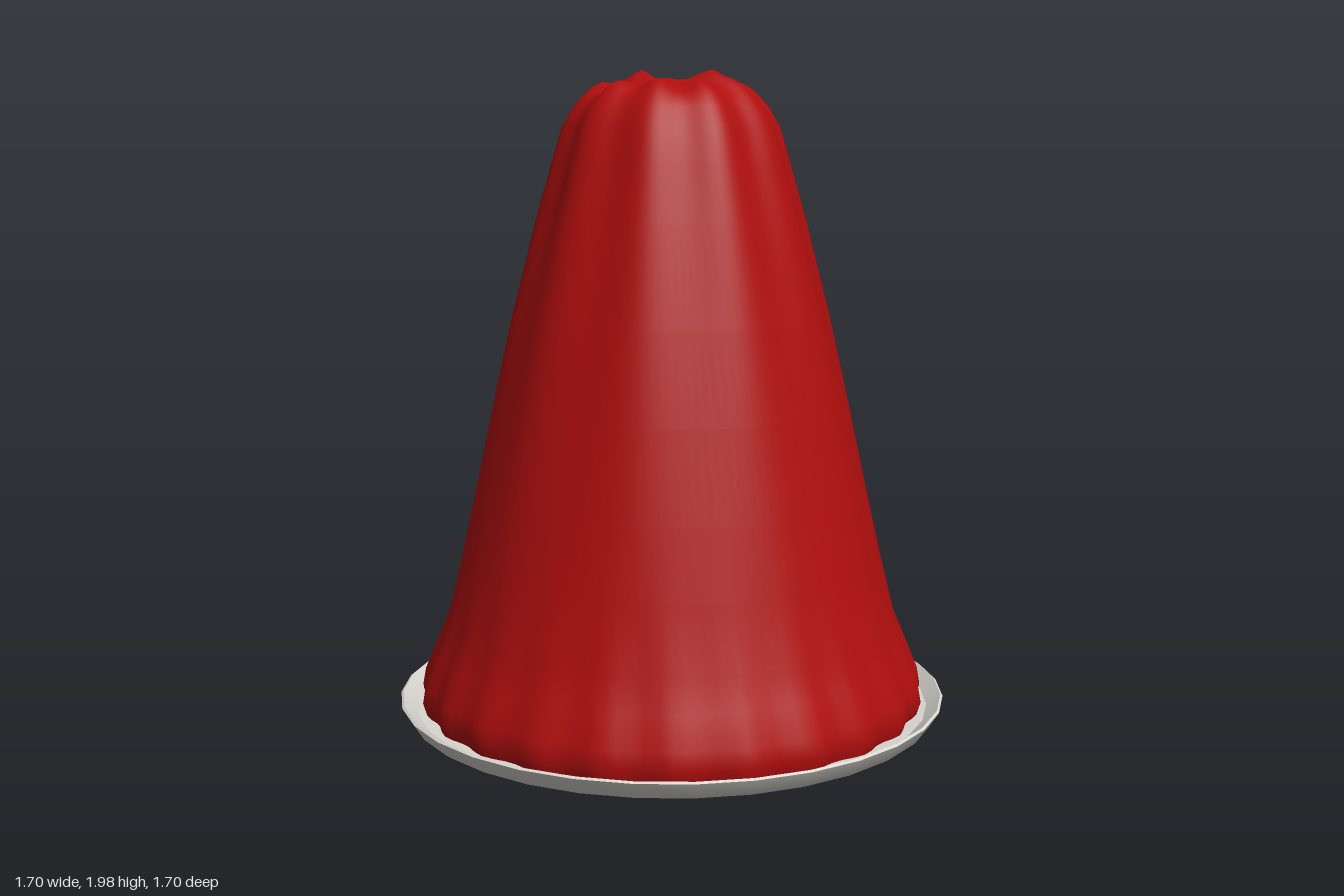
import * as THREE from 'three';
import { mergeVertices, toCreasedNormals } from 'three/addons/utils/BufferGeometryUtils.js';

const points = (list) => list.map(([r, y]) => new THREE.Vector2(r, y));

// Small rounded knobs on the crown: [x, z, height]
const KNOBS = [[0.13, 0, 0.045], [-0.11, 0, 0.045], [0.01, 0.06, 0.012], [0.01, -0.08, 0.015]];
for (let i = 0; i < 10; i++) {
  const a = ((i + 0.5) / 10) * Math.PI * 2;
  KNOBS.push([0.21 * Math.sin(a), 0.21 * Math.cos(a), 0.03]);
}

// Fluted tapering body with a knobbly crown
function bodyGeometry() {
  const profile = points([
    [0.765, 0.03], [0.778, 0.07], [0.77, 0.12], [0.735, 0.21], [0.695, 0.31], [0.65, 0.5],
    [0.605, 0.7], [0.545, 0.97], [0.482, 1.24], [0.405, 1.53], [0.355, 1.7], [0.322, 1.81],
    [0.29, 1.865], [0.262, 1.893], [0.235, 1.905], [0.205, 1.915], [0.17, 1.925],
    [0.135, 1.932], [0.1, 1.94], [0.065, 1.943], [0.03, 1.945], [0, 1.945],
  ]);
  let geo = new THREE.LatheGeometry(profile, 120);
  geo.deleteAttribute('uv');
  geo.deleteAttribute('normal');
  const p = geo.attributes.position;
  for (let i = 0; i < p.count; i++) {
    const x = p.getX(i), y = p.getY(i), z = p.getZ(i);
    const a = Math.atan2(x, z);
    // Fine scallops near the foot, broad flutes toward the crown
    const foot = 0.013 * Math.max(0, 1 - y / 0.5) * Math.cos(24 * a);
    const flute = 0.035 * Math.pow(Math.min(y / 1.85, 1), 2) * Math.cos(10 * (a - Math.PI / 10));
    const s = 1 + foot + flute;
    let lift = 0;
    if (y > 1.8) {
      for (const [kx, kz, h] of KNOBS) {
        lift += h * Math.exp(-((x - kx) ** 2 + (z - kz) ** 2) / 0.0022);
      }
    }
    p.setXYZ(i, x * s, Math.min(y + lift, 2), z * s);
  }
  geo = mergeVertices(geo, 1e-4);
  geo.computeVertexNormals();
  return geo;
}

// Shallow round dish
function plateGeometry() {
  const profile = points([
    [0, 0.005], [0.81, 0.005], [0.82, 0.012], [0.85, 0.06], [0.843, 0.065], [0.8, 0.032], [0.76, 0.03], [0, 0.03],
  ]);
  return toCreasedNormals(new THREE.LatheGeometry(profile, 32), 0.6);
}

export function createModel() {
  const red = new THREE.MeshStandardMaterial({ color: 0xb00e0e });
  red.name = 'jelly red';
  const grey = new THREE.MeshStandardMaterial({ color: 0xd9d6d0 });
  grey.name = 'plate grey';

  const group = new THREE.Group();
  group.name = 'mouldedJelly';
  const body = new THREE.Mesh(bodyGeometry(), red);
  body.name = 'body';
  const plate = new THREE.Mesh(plateGeometry(), grey);
  plate.name = 'plate';
  group.add(body, plate);
  return group;
}
